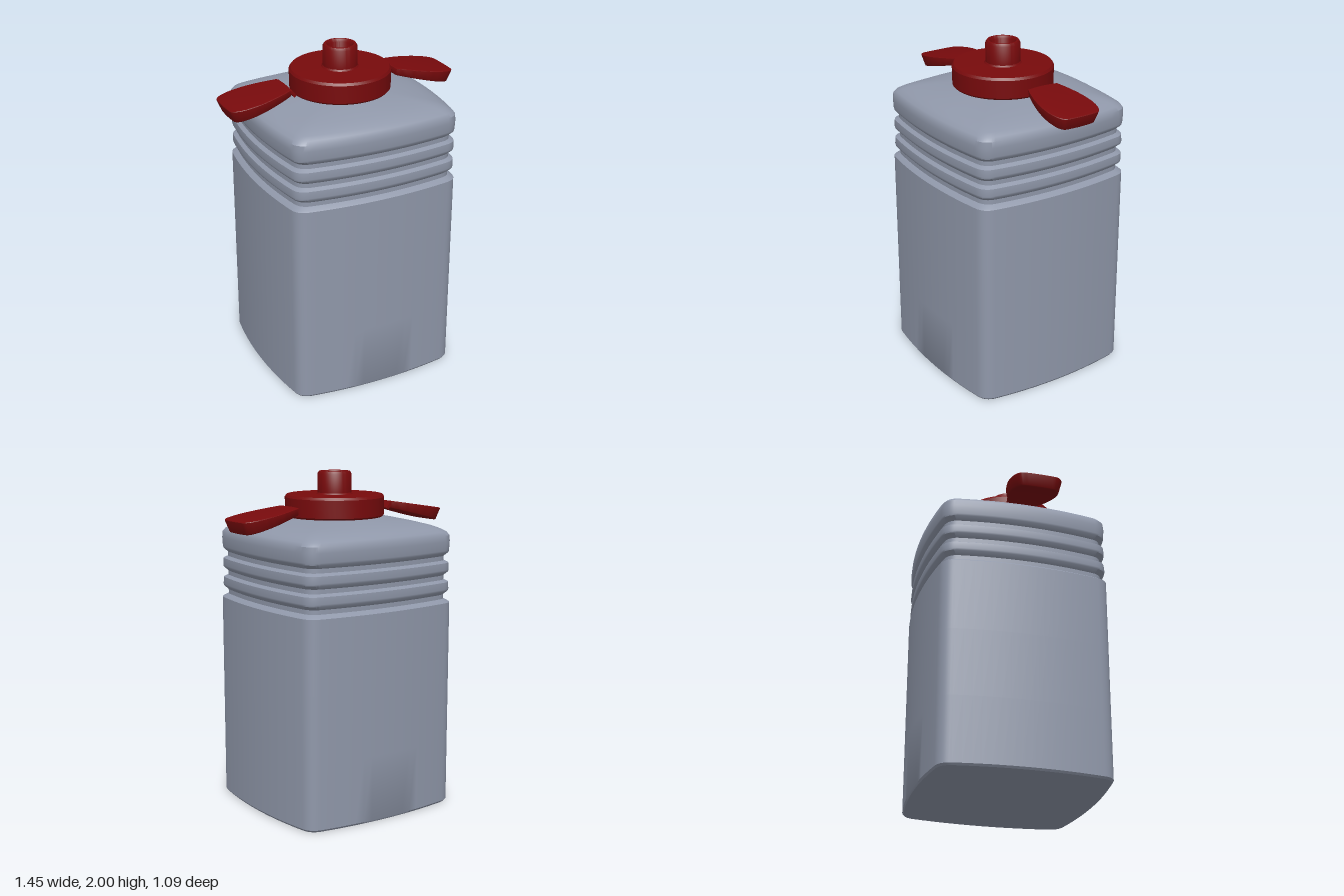
import * as THREE from 'three';
import { toCreasedNormals } from 'three/addons/utils/BufferGeometryUtils.js';

const shellGrey = new THREE.MeshStandardMaterial({ color: 0x9098aa });
shellGrey.name = 'shell grey';
const capRed = new THREE.MeshStandardMaterial({ color: 0x780a0c });
capRed.name = 'cap red';

const addMesh = (parent, name, geometry, material) => {
  const mesh = new THREE.Mesh(geometry, material);
  mesh.name = name;
  parent.add(mesh);
  return mesh;
};

// Square outline with bowed sides and tight rounded corners
function bodyOutline() {
  const points = [];
  const a = 0.43, b = 0.507;
  const side = new THREE.QuadraticBezierCurve(
    new THREE.Vector2(b, -a), new THREE.Vector2(0.58, 0), new THREE.Vector2(b, a));
  const corner = new THREE.QuadraticBezierCurve(
    new THREE.Vector2(b, a), new THREE.Vector2(0.496, 0.496), new THREE.Vector2(a, b));
  const quarter = [...side.getPoints(16).slice(0, -1), ...corner.getPoints(8).slice(0, -1)];
  for (let k = 0; k < 4; k++) {
    for (const p of quarter) {
      points.push(p.clone().rotateAround(new THREE.Vector2(), k * Math.PI / 2));
    }
  }
  return points.map(p => p.set(p.x * 1.027, p.y));
}

// Loft the outline up through [height, scale, blend towards the round neck]
function bodyGeometry(outline) {
  const rows = [[0, 0.985, 0], [0.012, 1, 0], [0.4, 1, 0], [0.8, 1, 0], [1.235, 1, 0]];
  for (const y of [1.27, 1.385, 1.5]) {
    rows.push([y - 0.028, 0.985, 0], [y - 0.014, 0.945, 0], [y + 0.012, 0.945, 0],
      [y + 0.034, 0.985, 0], [y + 0.046, 0.99, 0]);
  }
  rows.push([1.6, 0.995, 0], [1.635, 0.99, 0], [1.655, 0.975, 0.02], [1.672, 0.96, 0.09],
    [1.688, 0.95, 0.2], [1.702, 0.94, 0.36], [1.716, 0.93, 0.6], [1.726, 0.93, 0.84],
    [1.732, 0.93, 1], [1.76, 0.93, 1]);
  const n = outline.length, positions = [], index = [];
  rows.forEach(([y, s, t], i) => {
    outline.forEach((p, j) => {
      const angle = Math.atan2(p.y, p.x);
      positions.push(
        0.018 + THREE.MathUtils.lerp(p.x * s, 0.265 * Math.cos(angle) - 0.01, t), y,
        -THREE.MathUtils.lerp(p.y * s, 0.265 * Math.sin(angle) - 0.015, t));
      if (i < rows.length - 1) {
        const a = i * n + j, b = i * n + (j + 1) % n;
        index.push(a, b, b + n, a, b + n, a + n);
      }
    });
  });
  const geometry = new THREE.BufferGeometry();
  geometry.setAttribute('position', new THREE.Float32BufferAttribute(positions, 3));
  geometry.setIndex(index);
  return toCreasedNormals(geometry, 0.6);
}

// Rounded tab running outwards along +x, thicker and lower at its outer end
function wingGeometry() {
  const s = new THREE.Shape();
  s.moveTo(0.355, -0.095);
  s.bezierCurveTo(0.43, -0.125, 0.52, -0.15, 0.6, -0.148);
  s.bezierCurveTo(0.68, -0.145, 0.715, -0.12, 0.715, -0.09);
  s.quadraticCurveTo(0.722, 0, 0.715, 0.09);
  s.bezierCurveTo(0.715, 0.12, 0.68, 0.145, 0.6, 0.148);
  s.bezierCurveTo(0.52, 0.15, 0.43, 0.125, 0.355, 0.095);
  s.quadraticCurveTo(0.34, 0, 0.355, -0.095);
  const geometry = new THREE.ExtrudeGeometry(s, {
    depth: 0.8, bevelEnabled: true, bevelThickness: 0.1, bevelSize: 0.008,
    bevelSegments: 3, curveSegments: 10,
  });
  geometry.rotateX(-Math.PI / 2);
  const pos = geometry.attributes.position;
  for (let i = 0; i < pos.count; i++) {
    const h = (pos.getY(i) + 0.1);
    const x = pos.getX(i), t = (x - 0.35) / 0.37;
    const top = 1.81 - 0.06 * t, bottom = 1.765 - 0.09 * t;
    pos.setXYZ(i, x - (1 - h) * 0.03 * t, THREE.MathUtils.lerp(bottom, top, h),
      pos.getZ(i) * (0.9 + 0.1 * h));
  }
  return toCreasedNormals(geometry, 0.6);
}

export function createModel() {
  const model = new THREE.Group();
  model.name = 'canister';

  // Ribbed body and its flat base
  const outline = bodyOutline();
  addMesh(model, 'body', bodyGeometry(outline), shellGrey);
  const base = new THREE.ShapeGeometry(
    new THREE.Shape(outline.map(p => p.clone().multiplyScalar(0.985))));
  base.rotateX(Math.PI / 2);
  addMesh(model, 'base', base, shellGrey).position.x = 0.018;

  // Screw cap with a hollow spout, turned as one closed profile
  const profile = [
    [0.07, 1.735], [0.285, 1.735], [0.294, 1.745], [0.296, 1.85], [0.286, 1.864],
    [0.108, 1.866], [0.101, 1.875], [0.101, 1.985], [0.092, 2], [0.08, 2],
    [0.07, 1.985], [0.07, 1.735],
  ].map(([r, y]) => new THREE.Vector2(r, y));
  const cap = addMesh(model, 'capAndSpout',
    toCreasedNormals(new THREE.LatheGeometry(profile, 64), 0.6), capRed);
  cap.position.set(0.007, 0, 0.016);

  // Two side wings
  const wing = wingGeometry();
  addMesh(model, 'leftWing', wing, capRed).position.z = -0.021;
  const right = addMesh(model, 'rightWing', wing, capRed);
  right.rotation.y = Math.PI;
  right.position.z = 0.018;

  // Short hinge lip on the inner end of the right wing
  const lip = addMesh(model, 'hingeLip', new THREE.BoxGeometry(0.045, 0.018, 0.19), capRed);
  lip.position.set(-0.333, 1.782, 0.018);
  lip.rotation.z = -0.9;

  return model;
}
